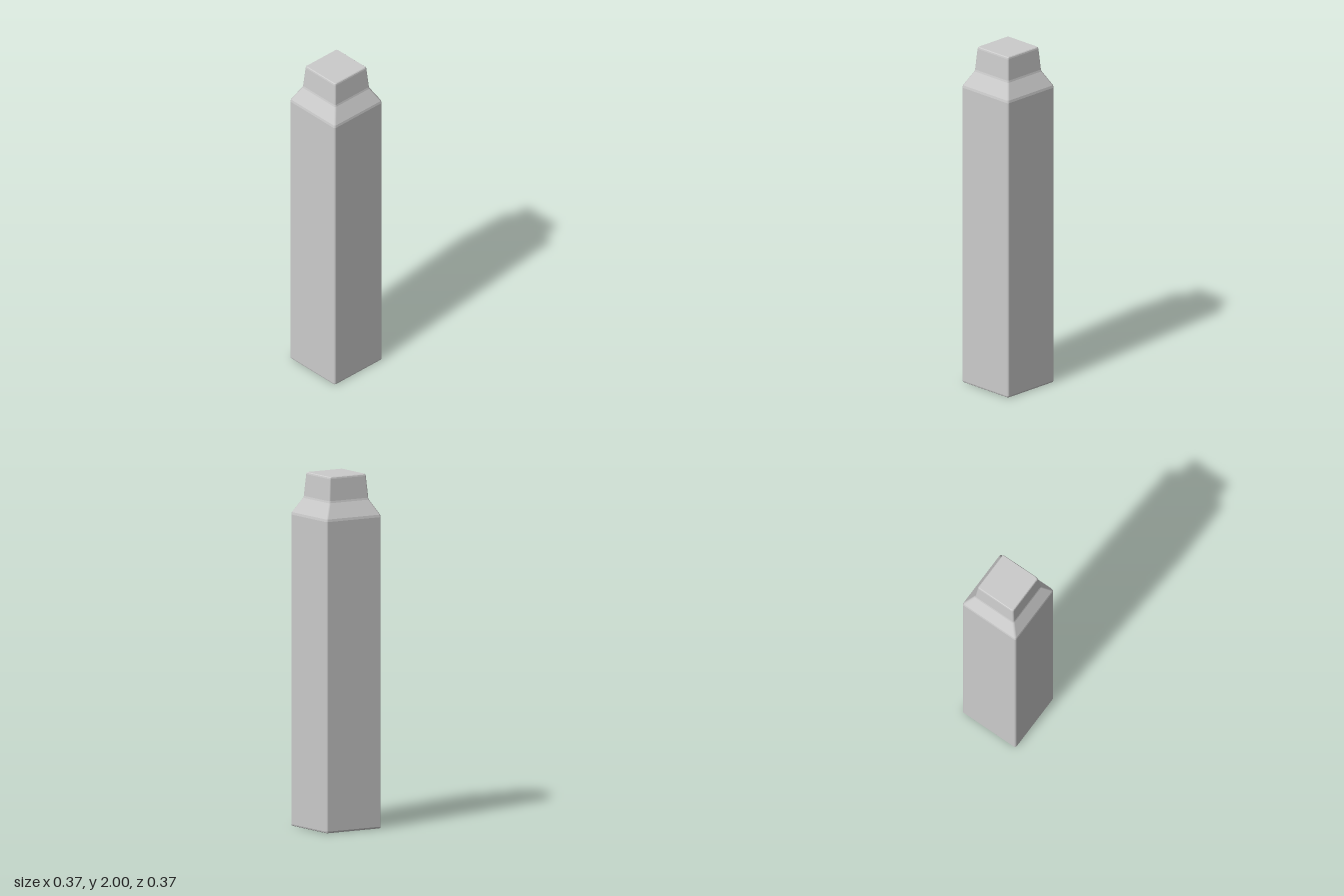
import * as THREE from 'three';

const STEPS = 4; // segments per rounded corner

// Points and outward directions around a rounded square of half-width w
function ring(w, r) {
  const out = [];
  for (let c = 0; c < 4; c++) {
    const mid = Math.PI / 4 + c * Math.PI / 2;
    const cx = Math.sign(Math.cos(mid)) * (w - r);
    const cz = Math.sign(Math.sin(mid)) * (w - r);
    for (let i = 0; i <= STEPS; i++) {
      const a = (c + i / STEPS) * Math.PI / 2;
      const nx = Math.cos(a), nz = Math.sin(a);
      out.push({ x: cx + r * nx, z: cz + r * nz, nx, nz });
    }
  }
  return out;
}

// Skin between successive [halfWidth, y] levels, creased at each level
function squareLoft(levels, r, capTop) {
  const pos = [], nor = [], idx = [];
  for (let k = 0; k < levels.length - 1; k++) {
    const [w0, y0] = levels[k], [w1, y1] = levels[k + 1];
    const len = Math.hypot(w1 - w0, y1 - y0);
    const out = (y1 - y0) / len, up = (w0 - w1) / len;
    const base = pos.length / 3;
    const a = ring(w0, r), b = ring(w1, r), n = a.length;
    for (const [pts, y] of [[a, y0], [b, y1]]) {
      for (const p of pts) {
        pos.push(p.x, y, p.z);
        nor.push(p.nx * out, up, p.nz * out);
      }
    }
    for (let i = 0; i < n; i++) {
      const j = (i + 1) % n;
      idx.push(base + i, base + n + i, base + j, base + j, base + n + i, base + n + j);
    }
  }
  if (capTop) {
    const [w, y] = levels[levels.length - 1];
    const pts = ring(w, r), n = pts.length, centre = pos.length / 3;
    pos.push(0, y, 0);
    nor.push(0, 1, 0);
    for (const p of pts) {
      pos.push(p.x, y, p.z);
      nor.push(0, 1, 0);
    }
    for (let i = 0; i < n; i++) idx.push(centre, centre + 1 + (i + 1) % n, centre + 1 + i);
  }
  const geo = new THREE.BufferGeometry();
  geo.setAttribute('position', new THREE.Float32BufferAttribute(pos, 3));
  geo.setAttribute('normal', new THREE.Float32BufferAttribute(nor, 3));
  geo.setIndex(idx);
  return geo;
}

export function createModel() {
  const group = new THREE.Group();
  group.name = 'squarePost';
  const material = new THREE.MeshStandardMaterial({ color: 0xcccccc, side: THREE.DoubleSide });
  const add = (name, geo) => {
    const mesh = new THREE.Mesh(geo, material);
    mesh.name = name;
    group.add(mesh);
  };

  // Hollow shaft, open underneath, with a small turned-in lip
  add('shaft', squareLoft([[0.178, 0], [0.182, 0.003], [0.184, 0.01], [0.184, 1.758]], 0.012));
  // Sloping shoulder with a softened lower edge
  add('shoulder', squareLoft([[0.184, 1.758], [0.181, 1.772], [0.136, 1.855], [0.133, 1.866]], 0.012));
  // Slightly tapered neck with a bevelled, closed top
  add('neck', squareLoft([[0.133, 1.866], [0.123, 1.988], [0.121, 1.996], [0.117, 2]], 0.01, true));
  return group;
}
